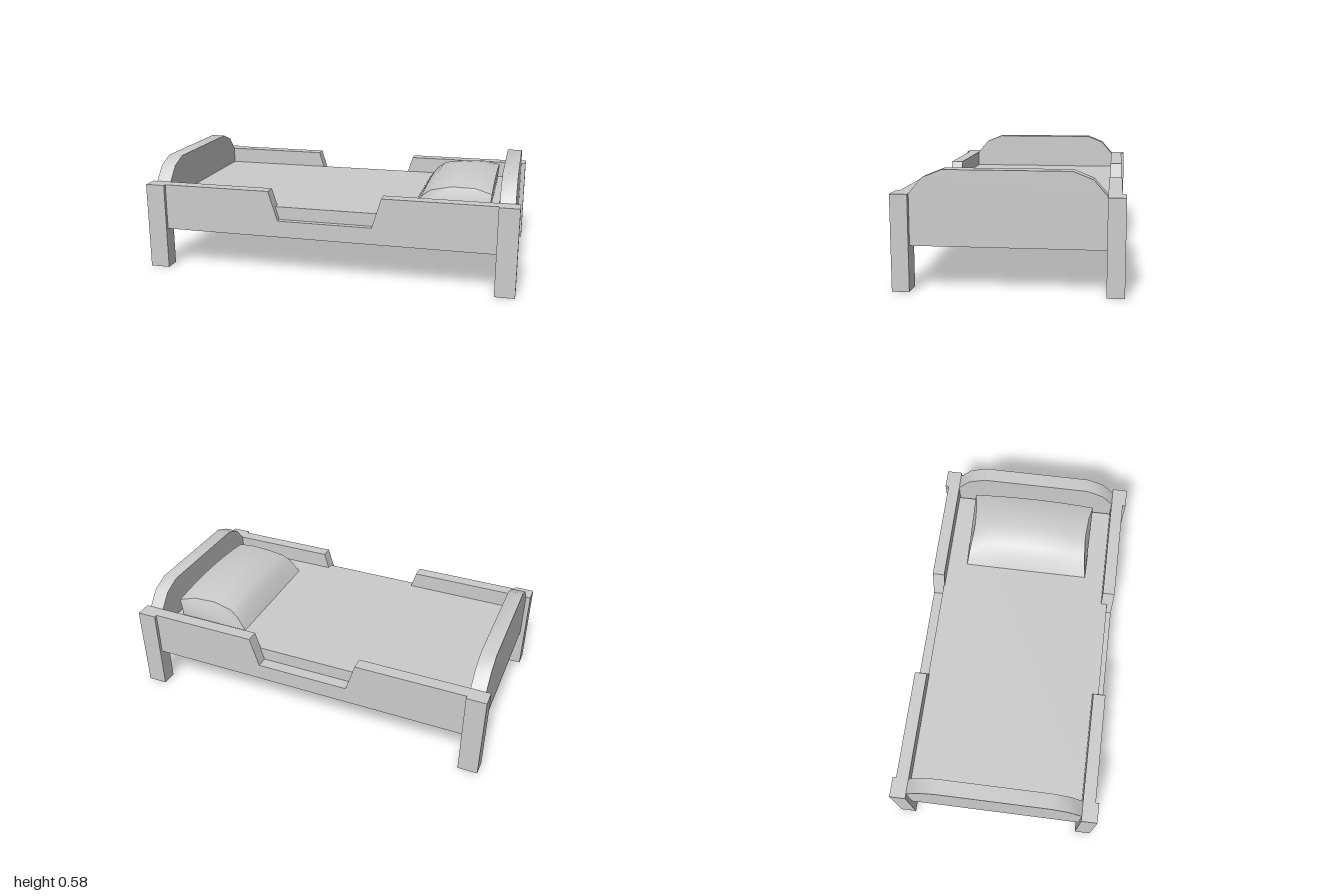
import * as THREE from 'three';
import { toCreasedNormals } from 'three/addons/utils/BufferGeometryUtils.js';

const material = new THREE.MeshStandardMaterial({ color: 0xcccccc });

export function createModel() {
  const bed = new THREE.Group();
  bed.name = 'bed';

  const add = (name, geometry) => {
    const mesh = new THREE.Mesh(geometry, material);
    mesh.name = name;
    bed.add(mesh);
    return mesh;
  };
  // box given by its limits on each axis
  const box = (name, x0, x1, y0, y1, z0, z1) =>
    add(name, new THREE.BoxGeometry(x1 - x0, y1 - y0, z1 - z0)
      .translate((x0 + x1) / 2, (y0 + y1) / 2, (z0 + z1) / 2));
  // outline extruded along z, centred on z = 0
  const slab = (points, depth, steps = 1) =>
    new THREE.ExtrudeGeometry(
      new THREE.Shape(points.map(([x, y]) => new THREE.Vector2(x, y))),
      { depth, steps, bevelEnabled: false }
    ).translate(0, 0, -depth / 2);

  // Corner legs
  for (const [endName, sx] of [['head', 1], ['foot', -1]])
    for (const [sideName, sz] of [['Front', 1], ['Back', -1]])
      add(endName + sideName + 'Leg', new THREE.BoxGeometry(0.105, 0.47, 0.085)
        .translate(sx * 0.9475, 0.235, sz * 0.5075));

  // Side rails with a lowered entry in the middle
  const railOutline = [
    [-0.9, 0.22], [0.9, 0.22], [0.9, 0.47], [0.305, 0.47],
    [0.255, 0.31], [-0.255, 0.31], [-0.305, 0.47], [-0.9, 0.47],
  ];
  for (const [name, sz] of [['frontRail', 1], ['backRail', -1]])
    add(name, slab(railOutline, 0.067)).position.z = sz * 0.4985;

  // Headboard and footboard with stepped, softened shoulders
  const boardOutline = [
    [-0.466, 0.22], [0.466, 0.22], [0.466, 0.47], [0.4, 0.547],
    [0.305, 0.585], [-0.305, 0.585], [-0.4, 0.547], [-0.466, 0.47],
  ];
  for (const [name, sx] of [['headboard', 1], ['footboard', -1]]) {
    const geometry = toCreasedNormals(slab(boardOutline, 0.08), 0.6);
    add(name, geometry.rotateY(Math.PI / 2)).position.x = sx * 0.935;
  }

  // Base panel and mattress
  box('basePanel', -0.895, 0.895, 0.22, 0.25, -0.47, 0.47);
  box('mattress', -0.895, 0.88, 0.25, 0.38, -0.47, 0.5);

  // Pillow: arched section, lower toward the ends, ends dished inward
  const pillowOutline = [
    [0.43, 0.375], [0.84, 0.375], [0.85, 0.505], [0.76, 0.531],
    [0.64, 0.531], [0.53, 0.505], [0.485, 0.465],
  ];
  const pillow = slab(pillowOutline, 2, 8);
  const p = pillow.attributes.position;
  for (let i = 0; i < p.count; i++) {
    const x = p.getX(i), y = p.getY(i), t = p.getZ(i);
    const across = (x - 0.64) / 0.21;
    p.setY(i, 0.375 + (y - 0.375) * (1 - 0.18 * t * t));
    p.setZ(i, t * (0.328 + 0.027 * across * across));
  }
  add('pillow', toCreasedNormals(pillow, 0.8));

  return bed;
}
